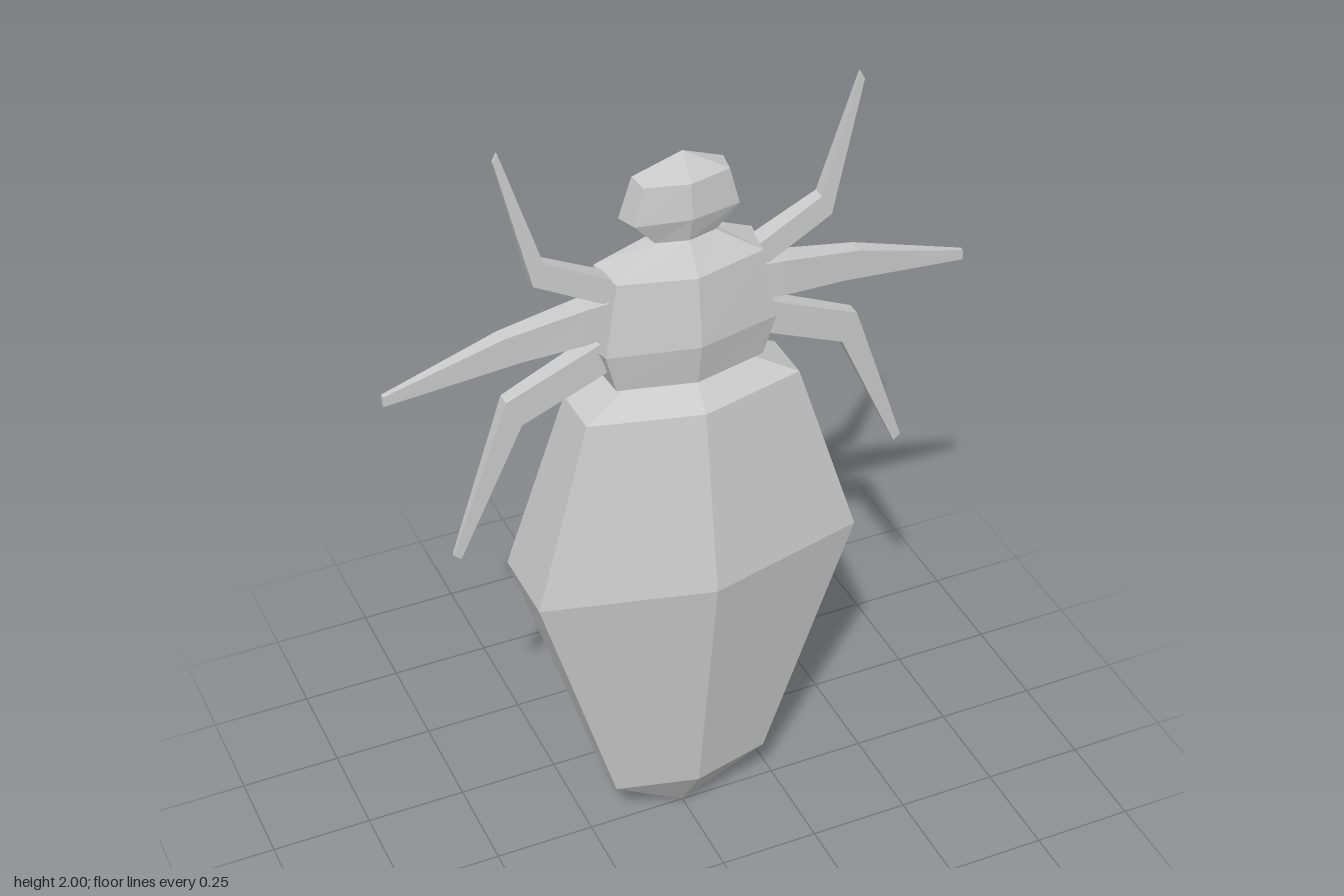
import * as THREE from 'three';

const material = new THREE.MeshStandardMaterial({ color: 0xcccccc, flatShading: true });

// Skins a stack of equal-sized rings of Vector3 and caps both ends.
function loft(rings, name) {
  const tris = [];
  const add = (a, b, c) => {
    if (new THREE.Triangle(a, b, c).getArea() > 1e-9) tris.push([a, b, c]);
  };
  const n = rings[0].length;
  for (let r = 0; r < rings.length - 1; r++) {
    const lo = rings[r], hi = rings[r + 1];
    for (let i = 0; i < n; i++) {
      const j = (i + 1) % n;
      add(lo[i], lo[j], hi[j]);
      add(lo[i], hi[j], hi[i]);
    }
  }
  const first = rings[0], last = rings[rings.length - 1];
  for (let i = 1; i < n - 1; i++) {
    add(first[0], first[i + 1], first[i]);
    add(last[0], last[i], last[i + 1]);
  }
  // Turn the faces outward whichever way the rings run
  const volume = tris.reduce((v, [a, b, c]) => v + a.dot(b.clone().cross(c)), 0);
  const points = tris.flatMap(([a, b, c]) => (volume > 0 ? [a, b, c] : [a, c, b]));
  const geometry = new THREE.BufferGeometry().setFromPoints(points);
  geometry.computeVertexNormals();
  const mesh = new THREE.Mesh(geometry, material);
  mesh.name = name;
  return mesh;
}

// Flattened hexagon with its ridges at the front and back;
// the front half can be a little smaller and higher than the back.
function hexRing(y, w, d, front = 1, lift = 0) {
  const corners = [[0, 1], [1, 0.5], [1, -0.5], [0, -1], [-1, -0.5], [-1, 0.5]];
  return corners.map(([x, z]) => {
    const s = z > 0 ? front : 1;
    return new THREE.Vector3(x * w * s, y + lift * z, z * d * s);
  });
}

// Leg stations: outer edge x, y, inner edge x, y, half thickness
const LEGS = {
  frontLeg: [
    [0.12, 1.535, 0.10, 1.585, 0.025],
    [0.20, 1.58, 0.18, 1.637, 0.023],
    [0.356, 1.662, 0.33, 1.714, 0.016],
    [0.43, 1.98, 0.42, 2.0, 0.005],
  ],
  middleLeg: [
    [0.12, 1.585, 0.12, 1.50, 0.03],
    [0.235, 1.577, 0.245, 1.485, 0.028],
    [0.43, 1.548, 0.39, 1.477, 0.019],
    [0.705, 1.468, 0.705, 1.443, 0.006],
  ],
  hindLeg: [
    [0.12, 1.515, 0.10, 1.445, 0.025],
    [0.23, 1.465, 0.20, 1.392, 0.023],
    [0.43, 1.378, 0.395, 1.307, 0.017],
    [0.567, 0.985, 0.55, 0.97, 0.005],
  ],
};

function leg(stations, side, name) {
  const rings = stations.map(([ox, oy, ix, iy, t]) => [
    new THREE.Vector3(side * ox, oy, t),
    new THREE.Vector3(side * ix, iy, t),
    new THREE.Vector3(side * ix, iy, -t),
    new THREE.Vector3(side * ox, oy, -t),
  ]);
  return loft(rings, name);
}

export function createModel() {
  const model = new THREE.Group();
  model.name = 'insect';

  // Long abdomen ending in a point at the bottom
  model.add(loft([
    hexRing(0, 0, 0),
    hexRing(0.155, 0.2, 0.1),
    hexRing(0.835, 0.403, 0.2),
    hexRing(1.295, 0.262, 0.131),
    hexRing(1.355, 0.15, 0.075),
  ], 'abdomen'));

  // Thorax
  model.add(loft([
    hexRing(1.355, 0.185, 0.09, 0.97),
    hexRing(1.45, 0.225, 0.115, 0.92, 0.01),
    hexRing(1.635, 0.19, 0.095, 0.92, -0.005),
    hexRing(1.7, 0.07, 0.038),
  ], 'thorax'));

  // Head
  model.add(loft([
    hexRing(1.7, 0.073, 0.038),
    hexRing(1.755, 0.138, 0.061, 0.9, 0.006),
    hexRing(1.85, 0.108, 0.05, 0.94, -0.004),
    hexRing(1.905, 0, 0),
  ], 'head'));

  // Three pairs of jointed legs
  for (const [name, stations] of Object.entries(LEGS)) {
    model.add(leg(stations, 1, name + 'Left'), leg(stations, -1, name + 'Right'));
  }
  return model;
}
